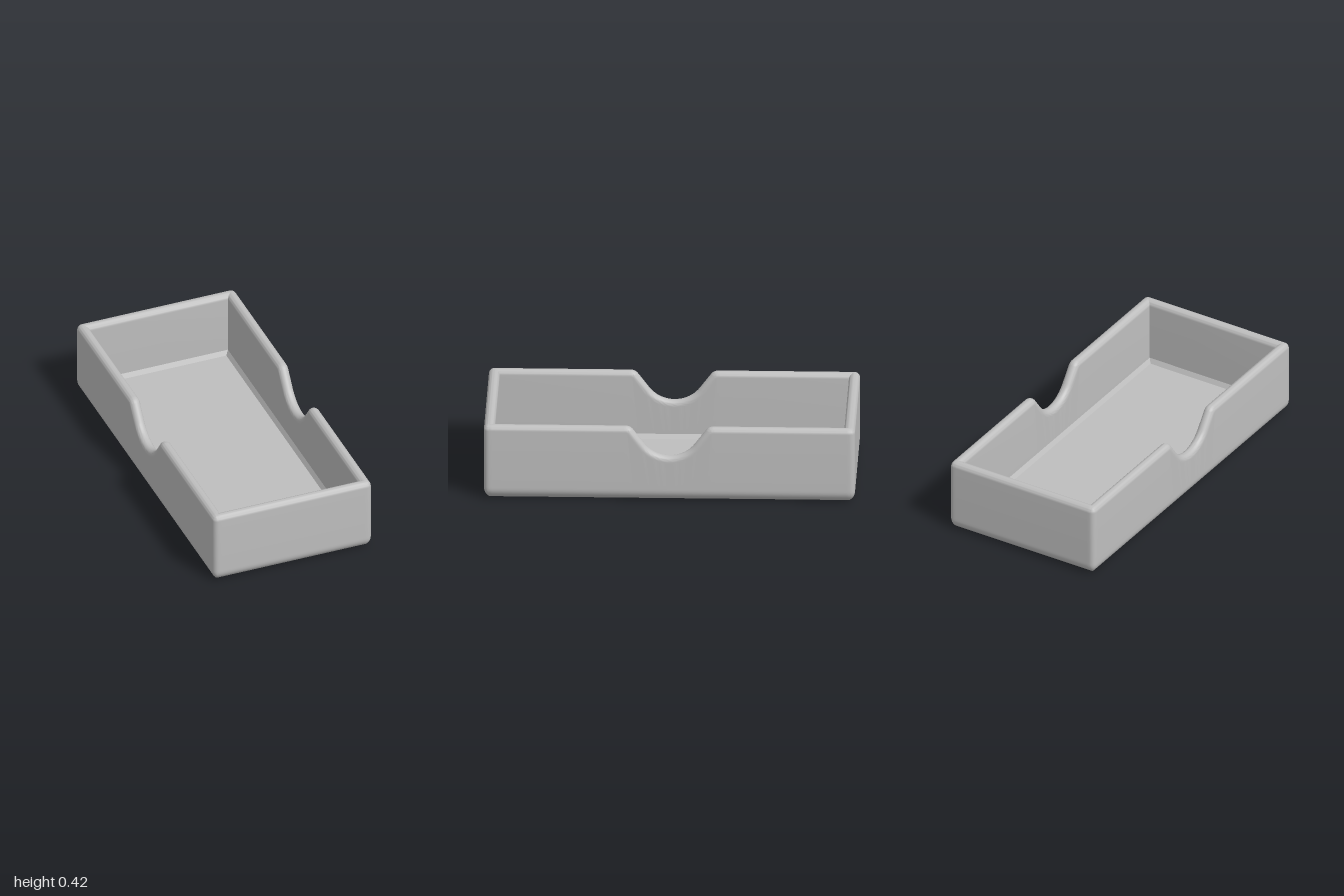
import * as THREE from 'three';
import { toCreasedNormals } from 'three/addons/utils/BufferGeometryUtils.js';

const HX = 0.46, HZ = 1, H = 0.42;   // outer half width, half length, height
const WALL = 0.06, RIM = 0.03;       // wall thickness, rim and corner rounding
const FILLET = 0.06, FLOOR = 0.04;   // bottom rounding, floor level

// Top edge of a long wall: points { z, y, a } where a is the slope angle.
function notchEdge() {
  const A = 0.92, R = 0.17, r = 0.05, low = 0.253, half = [];
  for (let i = 0; i <= 10; i++) {
    const a = (A * i) / 10;
    half.push({ z: R * Math.sin(a), y: low + R * (1 - Math.cos(a)), a });
  }
  // straight flank, then the convex shoulder
  const end = half[10];
  const shoulderY = H - r * (1 - Math.cos(A));
  const z0 = end.z + (shoulderY - end.y) / Math.tan(A);
  for (let i = 0; i <= 6; i++) {
    const a = A * (1 - i / 6);
    half.push({
      z: z0 + r * (Math.sin(A) - Math.sin(a)),
      y: H - r * (1 - Math.cos(a)), a,
    });
  }
  half.push({ z: half[half.length - 1].z + 0.01, y: H, a: 0 });
  half.push({ z: HZ - 0.045, y: H, a: 0 });
  const mirrored = half.slice(1).reverse().map(p => ({ z: -p.z, y: p.y, a: -p.a }));
  return [...mirrored, ...half];
}

// Stations round the tray, seen from above; corners carry a direction angle.
function perimeter() {
  const edge = notchEdge(), out = [];
  const side = s => (s > 0 ? edge : [...edge].reverse())
    .forEach(p => out.push({ x: s * HX, ...p }));
  const corner = (sx, sz, from) => {
    for (let i = 0; i <= 6; i++) {
      out.push({ corner: true, sx, sz, dir: from + (i / 6) * Math.PI / 2, y: H, a: 0 });
    }
  };
  const end = s => [1, -1].forEach(k =>
    out.push({ x: s * k * (HX - 0.045), z: s * HZ, y: H, a: 0 }));
  side(1);
  corner(1, 1, 0);
  end(1);
  corner(-1, 1, Math.PI / 2);
  side(-1);
  corner(-1, -1, Math.PI);
  end(-1);
  corner(1, -1, Math.PI * 1.5);
  return out;
}

// Wall section: t is the inset from the outside; y is a height, d a depth below the edge.
function section() {
  const pts = [{ t: HX, y: 0 }, { t: FILLET + 0.01, y: 0 }];
  for (let i = 0; i <= 8; i++) {
    const a = (i / 8) * Math.PI / 2;
    pts.push({ t: FILLET * (1 - Math.sin(a)), y: FILLET * (1 - Math.cos(a)) });
  }
  pts.push({ t: 0, y: FILLET + 0.01 }, { t: 0, d: RIM + 0.006 });
  for (let i = 0; i <= 14; i++) {
    const a = (i / 14) * Math.PI;
    pts.push({ t: RIM * (1 - Math.cos(a)), d: RIM * (1 - Math.sin(a)) });
  }
  pts.push({ t: WALL, d: RIM + 0.006 }, { t: WALL, y: FLOOR + 0.025 });
  pts.push({ t: WALL + 0.015, y: FLOOR }, { t: HX, y: FLOOR });
  return pts;
}

function place(s, { t, y, d }) {
  const limX = HX - t, limZ = HZ - t;
  const onRim = d !== undefined;
  const py = onRim ? s.y - d * Math.cos(s.a) : y;
  if (s.corner) {
    const c = Math.max(RIM, t), r = Math.max(RIM - t, 0);
    return [s.sx * (HX - c) + r * Math.cos(s.dir), py, s.sz * (HZ - c) + r * Math.sin(s.dir)];
  }
  const z = onRim ? s.z + d * Math.sin(s.a) : s.z;
  return [THREE.MathUtils.clamp(s.x, -limX, limX), py, THREE.MathUtils.clamp(z, -limZ, limZ)];
}

function trayGeometry() {
  const ring = perimeter(), prof = section();
  const n = ring.length, pos = [], index = [];
  prof.forEach(p => ring.forEach(s => pos.push(...place(s, p))));
  for (let j = 0; j < prof.length - 1; j++) {
    for (let i = 0; i < n; i++) {
      const k = (i + 1) % n;
      const a = j * n + i, b = j * n + k, c = b + n, d = a + n;
      index.push(a, d, c, a, c, b);
    }
  }
  const geo = new THREE.BufferGeometry();
  geo.setAttribute('position', new THREE.Float32BufferAttribute(pos, 3));
  geo.setIndex(index);
  return toCreasedNormals(geo, 0.45);
}

export function createModel() {
  const grey = new THREE.MeshStandardMaterial({ color: 0xbebebe });
  grey.name = 'plain grey';
  const tray = new THREE.Mesh(trayGeometry(), grey);
  tray.name = 'notchedTray';
  const model = new THREE.Group();
  model.name = 'tray';
  model.add(tray);
  return model;
}
